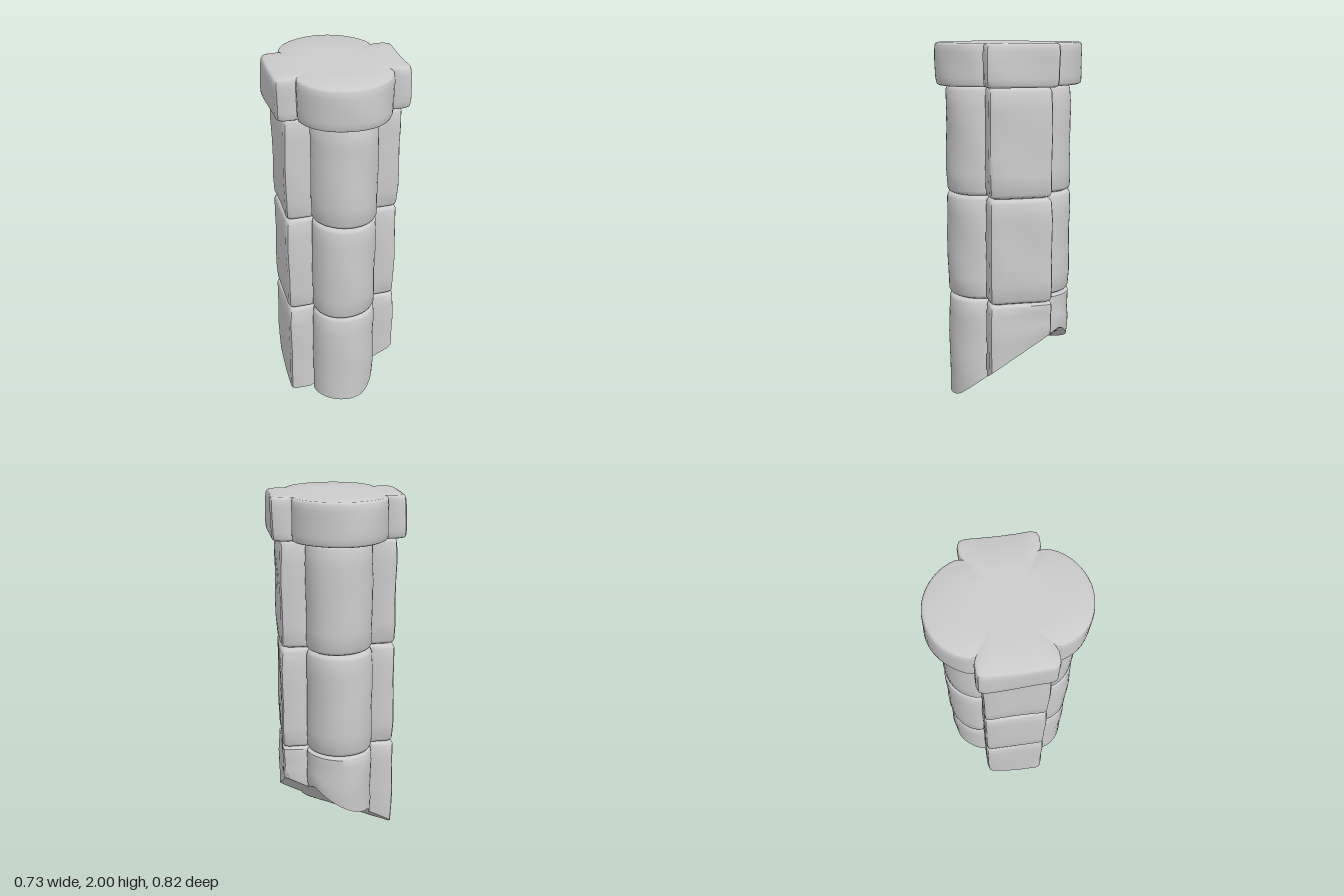
import * as THREE from 'three';
import { toCreasedNormals } from 'three/addons/utils/BufferGeometryUtils.js';

const material = new THREE.MeshStandardMaterial({ color: 0xcccccc });

// Cross-section: a block with a rounded lobe at front and back, as a closed loop of [x, z].
function outline({ hw, hz, R, zc, corner }, inset) {
  const w = hw - inset, d = hz - inset, r = R - inset, c = corner;
  const a0 = Math.asin(Math.max(-1, Math.min(1, (d - zc) / r)));
  const jx = r * Math.cos(a0);
  const q = [[w, 0], [w, d * 0.45], [w, d - c], [w - c * 0.28, d - c * 0.28], [w - c, d],
    [jx + 0.02, d], [jx - 0.008, d - 0.012]];
  for (let i = 0; i <= 10; i++) {
    const a = a0 + 0.08 + (Math.PI / 2 - a0 - 0.08) * i / 10;
    q.push([r * Math.cos(a), zc + r * Math.sin(a)]);
  }
  const half = q.concat(q.slice(0, -1).reverse().map(([x, z]) => [-x, z]));
  return half.concat(half.slice(1, -1).reverse().map(([x, z]) => [x, -z]));
}

// Smooth unevenness of worn stone
const wear = (x, y, z, seed) =>
  Math.sin(x * 13 + y * 7 + seed) * Math.sin(z * 11 - y * 9 + seed * 2.3) * 0.006;

// Sloping break at the foot, levelling off where it meets the ground
function breakHeight(x, z) {
  const slope = 0.15 + 0.53 * x - 0.62 * z - 0.08 * Math.max(0, (-z - 0.27) / 0.08);
  const k = 0.03;
  return Math.max(0, (slope + Math.sqrt(slope * slope + k * k)) / 2 - 0.003);
}

// Lofted stone: from the centre of the underside, up the sides, to the centre of the top
function stone(name, section, y0, y1, bevel, seed, broken = false) {
  const h = y1 - y0, levels = [];
  for (const s of [0, 0.25, 0.5, 0.75, 0.9]) levels.push({ s, inset: broken ? 0 : bevel, t: 0 });
  const b = bevel / h;
  if (broken) levels.push({ s: 1, inset: 0, t: 0 });
  else levels.push({ s: 1, inset: bevel, t: 0 }, { s: 1, inset: bevel * 0.3, t: b * 0.35 }, { s: 1, inset: 0, t: b });
  for (const t of [0.2, 0.4, 0.6, 0.8]) levels.push({ s: 1, inset: -0.003, t });
  levels.push({ s: 1, inset: 0, t: 1 - b }, { s: 1, inset: bevel * 0.3, t: 1 - b * 0.35 },
    { s: 1, inset: bevel, t: 1 }, { s: 0.5, inset: bevel, t: 1 }, { s: 0, inset: bevel, t: 1 });

  const rings = levels.map(({ s, inset, t }) => outline(section, inset).map(([x, z]) => {
    const k = 1 + wear(x, y0 + t * h, z, seed) / Math.hypot(x, z);
    const px = x * k * s, pz = z * k * s;
    const low = broken ? breakHeight(px, pz) : y0;
    return [px, low + (y1 - low) * t, pz];
  }));
  const pos = [], n = rings[0].length, last = rings.length - 2;
  for (let i = 0; i <= last; i++) for (let j = 0; j < n; j++) {
    const k = (j + 1) % n;
    const p = rings[i][j], q = rings[i][k], u = rings[i + 1][j], v = rings[i + 1][k];
    if (i < last) pos.push(...p, ...u, ...v);
    else pos.push(...p, ...u, ...q);
    if (i > 0 && i < last) pos.push(...p, ...v, ...q);
  }
  const geometry = new THREE.BufferGeometry();
  geometry.setAttribute('position', new THREE.Float32BufferAttribute(pos, 3));
  const mesh = new THREE.Mesh(toCreasedNormals(geometry, 0.75), material);
  mesh.name = name;
  return mesh;
}

export function createModel() {
  const column = new THREE.Group();
  column.name = 'brokenColumn';
  const shaft = { hw: 0.313, hz: 0.172, R: 0.18, zc: 0.168, corner: 0.028 };
  const capital = { hw: 0.355, hz: 0.196, R: 0.259, zc: 0.146, corner: 0.035 };
  column.add(
    stone('lowerDrum', shaft, 0, 0.596, 0.022, 1.0, true),
    stone('middleDrum', shaft, 0.598, 1.184, 0.024, 2.7),
    stone('upperDrum', shaft, 1.186, 1.776, 0.024, 4.1),
    stone('capSlab', capital, 1.775, 2.0, 0.014, 5.6),
  );
  return column;
}
